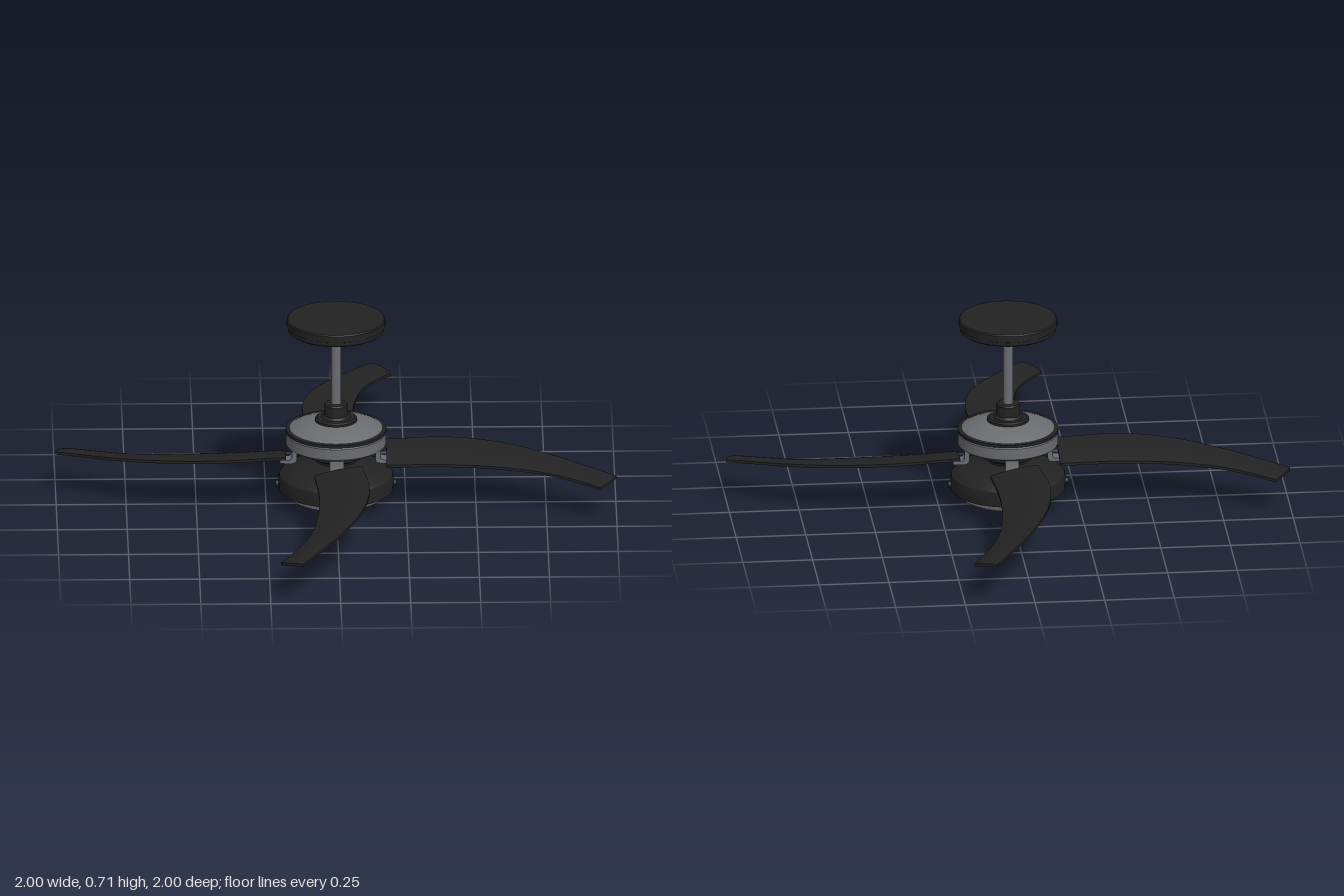
import * as THREE from 'three';
import { toCreasedNormals } from 'three/addons/utils/BufferGeometryUtils.js';

const black = new THREE.MeshStandardMaterial({ color: 0x222222 });
black.name = 'matte black';
const grey = new THREE.MeshStandardMaterial({ color: 0x6a6c70 });
grey.name = 'metal grey';
const glass = new THREE.MeshStandardMaterial({ color: 0x8e8e8e });
glass.name = 'frosted glass';

function add(parent, name, geometry, material) {
  const mesh = new THREE.Mesh(geometry, material);
  mesh.name = name;
  parent.add(mesh);
  return mesh;
}

// Turned part: profile of [radius, y] from bottom to top
function turned(parent, name, profile, material) {
  const points = profile.map(([r, y]) => new THREE.Vector2(r, y));
  const lathe = new THREE.LatheGeometry(points, 56);
  return add(parent, name, toCreasedNormals(lathe, 0.5), material);
}

// Blade edges: [x, z of upper edge, z of lower edge, middle height]
const stations = [
  [0.18, 0.18, -0.09, 0.08, 0.187],
  [0.4, 0.39, -0.114, 0.066, 0.184],
  [0.59, 0.59, -0.085, 0.078, 0.175],
  [0.78, 0.74, -0.002, 0.108, 0.16],
  [0.89, 0.85, 0.066, 0.158, 0.149],
  [0.965, 0.915, 0.113, 0.196, 0.141],
  [1.0, 0.94, 0.135, 0.212, 0.137],
];

// Curved, pitched blade lofted from cross-sections
function bladeGeometry() {
  const upper = new THREE.CatmullRomCurve3(stations.map((s) => new THREE.Vector3(s[0], s[4], s[2])));
  const lower = new THREE.CatmullRomCurve3(stations.map((s) => new THREE.Vector3(s[1], s[4], s[3])));
  const rows = 30, cols = 8, half = 0.005;
  const geometry = new THREE.BoxGeometry(1, 1, 1, rows, 1, cols);
  const p = geometry.attributes.position;
  for (let i = 0; i < p.count; i++) {
    const t = p.getX(i) + 0.5;
    const v = p.getZ(i) + 0.5;
    const a = upper.getPoint(t);
    const b = lower.getPoint(t);
    const pitch = 0.21 * (0.5 - v) * (b.z - a.z);
    const crown = 0.006 * (1 - (2 * v - 1) ** 2);
    // Slightly rounded tip
    const bulge = t > 0.99 ? 0.012 * (1 - (2 * v - 1) ** 2) : 0;
    p.setXYZ(i,
      a.x + (b.x - a.x) * v + bulge,
      a.y + (b.y - a.y) * v + pitch + crown + Math.sign(p.getY(i)) * half,
      a.z + (b.z - a.z) * v);
  }
  return toCreasedNormals(geometry, 0.6);
}

// Bent strap that drops from the motor and runs out below the blade
function strapGeometry() {
  const s = new THREE.Shape();
  s.moveTo(0.1, 0.225);
  s.lineTo(0.14, 0.225);
  s.lineTo(0.14, 0.18);
  s.quadraticCurveTo(0.14, 0.16, 0.165, 0.16);
  s.lineTo(0.2, 0.162);
  s.lineTo(0.2, 0.174);
  s.lineTo(0.172, 0.174);
  s.quadraticCurveTo(0.158, 0.174, 0.158, 0.188);
  s.lineTo(0.158, 0.24);
  s.lineTo(0.1, 0.24);
  const g = new THREE.ExtrudeGeometry(s, { depth: 0.05, bevelEnabled: false, curveSegments: 6 });
  return toCreasedNormals(g.translate(0, 0, -0.025), 0.5);
}

export function createModel() {
  const fan = new THREE.Group();
  fan.name = 'ceilingFan';

  // Ceiling mount and rod
  turned(fan, 'canopy', [[0, 0.64], [0.045, 0.642], [0.1, 0.652], [0.165, 0.66], [0.172, 0.665],
    [0.172, 0.678], [0.176, 0.68], [0.176, 0.703], [0.172, 0.707], [0, 0.707]], black);
  turned(fan, 'hangerBall', [[0, 0.612], [0.022, 0.613], [0.034, 0.622], [0.04, 0.635], [0.04, 0.645]], black);
  turned(fan, 'downRod', [[0.018, 0.36], [0.018, 0.63]], grey);
  turned(fan, 'rodCoupler', [[0.052, 0.315], [0.052, 0.332], [0.043, 0.34], [0.043, 0.378], [0.038, 0.383], [0, 0.383]], black);

  // Motor housing
  turned(fan, 'motorCollar', [[0.075, 0.305], [0.075, 0.326], [0.068, 0.331], [0, 0.331]], black);
  turned(fan, 'motorDome', [[0.172, 0.285], [0.158, 0.293], [0.13, 0.305], [0.1, 0.315], [0.07, 0.319]], grey);
  turned(fan, 'motorTrim', [[0.165, 0.275], [0.18, 0.278], [0.18, 0.288], [0.165, 0.29]], black);
  turned(fan, 'motorBody', [[0, 0.215], [0.14, 0.215], [0.165, 0.222], [0.179, 0.232], [0.179, 0.272], [0.172, 0.28], [0, 0.28]], grey);
  turned(fan, 'bladeHub', [[0.07, 0.15], [0.075, 0.175], [0.105, 0.19], [0.11, 0.218]], black);

  // Light fitting
  turned(fan, 'lightHousing', [[0.19, 0.058], [0.205, 0.06], [0.206, 0.1], [0.203, 0.115], [0.19, 0.128],
    [0.15, 0.145], [0.11, 0.157], [0.09, 0.166], [0, 0.168]], black);
  const bowl = [];
  for (let i = 0; i <= 12; i++) {
    const a = (i / 12) * Math.PI / 2;
    bowl.push([0.192 * Math.sin(a), 0.062 - 0.062 * Math.cos(a)]);
  }
  turned(fan, 'lightBowl', bowl, glass);

  // Four blades with brackets and housing lugs
  const blade = bladeGeometry();
  const strap = strapGeometry();
  for (let i = 0; i < 4; i++) {
    const arm = new THREE.Group();
    arm.name = 'bladeArm' + (i + 1);
    arm.rotation.y = i * Math.PI / 2;
    add(arm, 'blade', blade, black);
    add(arm, 'bracketStrap', strap, grey);
    const plate = add(arm, 'bracketPlate', new THREE.BoxGeometry(0.11, 0.01, 0.055), grey);
    plate.position.set(0.24, 0.173, 0);
    plate.rotation.x = 0.2;
    const lug = add(arm, 'housingLug', new THREE.CylinderGeometry(0.012, 0.012, 0.02, 16), black);
    lug.rotation.z = Math.PI / 2;
    lug.position.set(0.206, 0.078, 0);
    fan.add(arm);
  }
  return fan;
}
